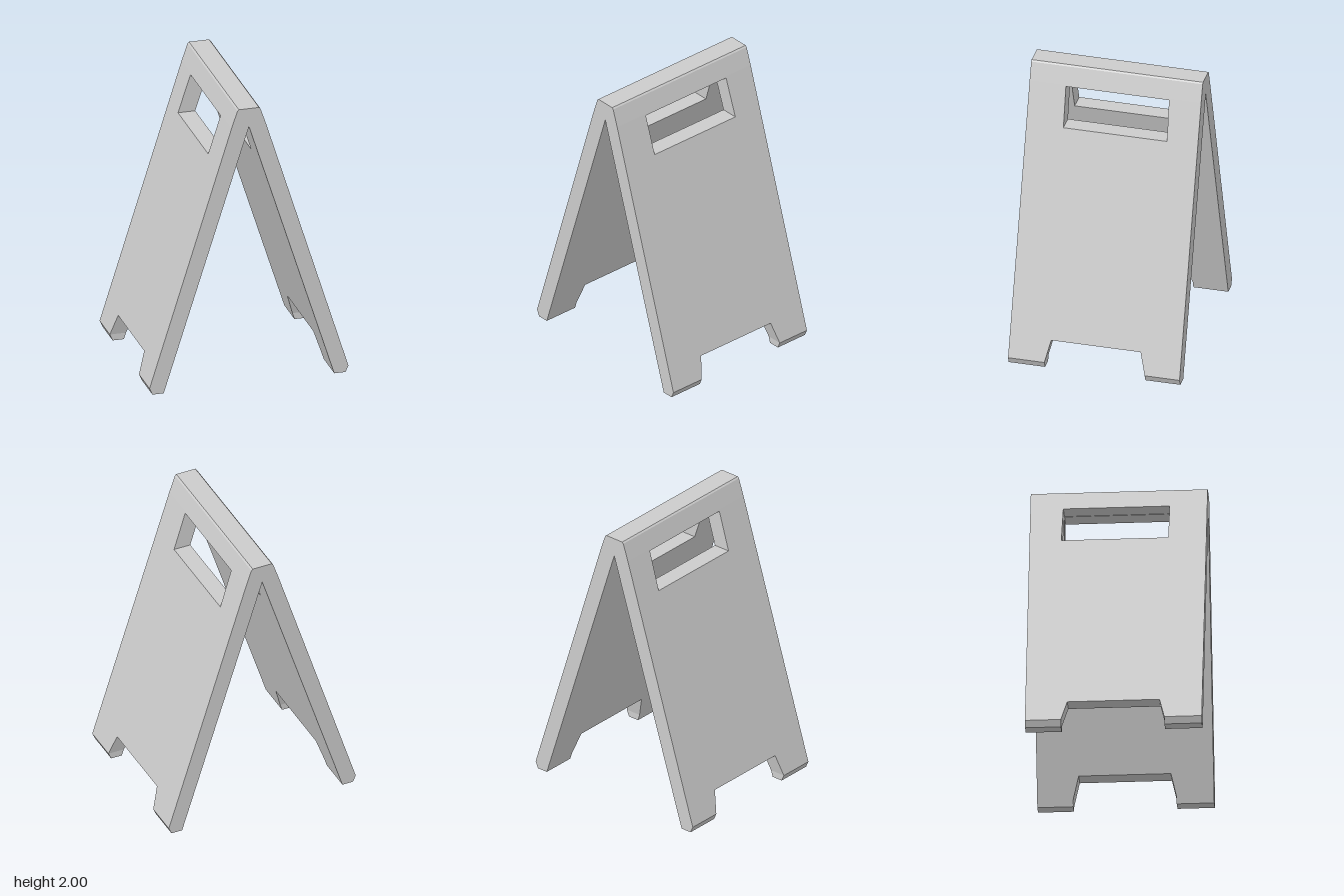
import * as THREE from 'three';

const HALF_DEPTH = 0.59; // half width of the boards along z
const APEX = 1.87;       // height where the inner faces meet
const TOE = 0.05;        // height of the chamfered toes

// Slope of the outer and inner faces of a board: distance from x = 0 at height y
const outerX = (y) => 0.69 - (y - TOE) * (0.61 / 1.95);
const innerX = (y) => 0.59 * (APEX - y) / 1.86;

const material = new THREE.MeshStandardMaterial({ color: 0xcccccc, flatShading: true });

function addMesh(parent, name, geometry) {
  const mesh = new THREE.Mesh(geometry, material);
  mesh.name = name;
  parent.add(mesh);
}

const points = (list) => list.map(([a, b]) => new THREE.Vector2(a, b));

// Board outline with cut-out between the feet and a hand hole, leaned to its slope
function boardGeometry(side) {
  // u runs along -z
  const shape = new THREE.Shape(points([
    [-HALF_DEPTH, TOE], [-0.34, TOE], [-0.305, 0.2], [0.31, 0.2],
    [0.35, TOE], [HALF_DEPTH, TOE], [HALF_DEPTH, APEX], [-HALF_DEPTH, APEX],
  ]));
  shape.holes.push(new THREE.Path(points([
    [-0.335, 1.59], [-0.34, 1.86], [0.37, 1.86], [0.378, 1.59],
  ])));
  const geometry = new THREE.ExtrudeGeometry(shape, { depth: 1, bevelEnabled: false });
  geometry.rotateY(Math.PI / 2);
  const pos = geometry.attributes.position;
  for (let i = 0; i < pos.count; i++) {
    const y = pos.getY(i);
    const start = side > 0 ? innerX(y) : -outerX(y);
    pos.setX(i, start + pos.getX(i) * (outerX(y) - innerX(y)));
  }
  geometry.computeVertexNormals();
  return geometry;
}

// Front profile extruded from z0 to z1
function profileGeometry(list, z0, z1) {
  const geometry = new THREE.ExtrudeGeometry(new THREE.Shape(points(list)),
    { depth: z1 - z0, bevelEnabled: false });
  return geometry.translate(0, 0, z0);
}

export function createModel() {
  const model = new THREE.Group();
  model.name = 'foldingFloorSign';

  for (const side of [1, -1]) {
    const panel = new THREE.Group();
    panel.name = side > 0 ? 'leftPanel' : 'rightPanel';
    addMesh(panel, 'board', boardGeometry(side));

    // Toes with a chamfered outer edge
    const toe = [
      [side * innerX(TOE), TOE], [side * innerX(0.005), 0.005],
      [side * 0.67, 0.005], [side * 0.69, TOE],
    ];
    addMesh(panel, 'frontToe', profileGeometry(toe, 0.34, HALF_DEPTH));
    addMesh(panel, 'backToe', profileGeometry(toe, -HALF_DEPTH, -0.35));
    model.add(panel);
  }

  // Ridge joining both boards
  const base = outerX(APEX);
  addMesh(model, 'ridge', profileGeometry(
    [[-base, APEX], [base, APEX], [0.08, 1.99], [0.07, 2], [-0.07, 2], [-0.08, 1.99]],
    -HALF_DEPTH, HALF_DEPTH));

  return model;
}
